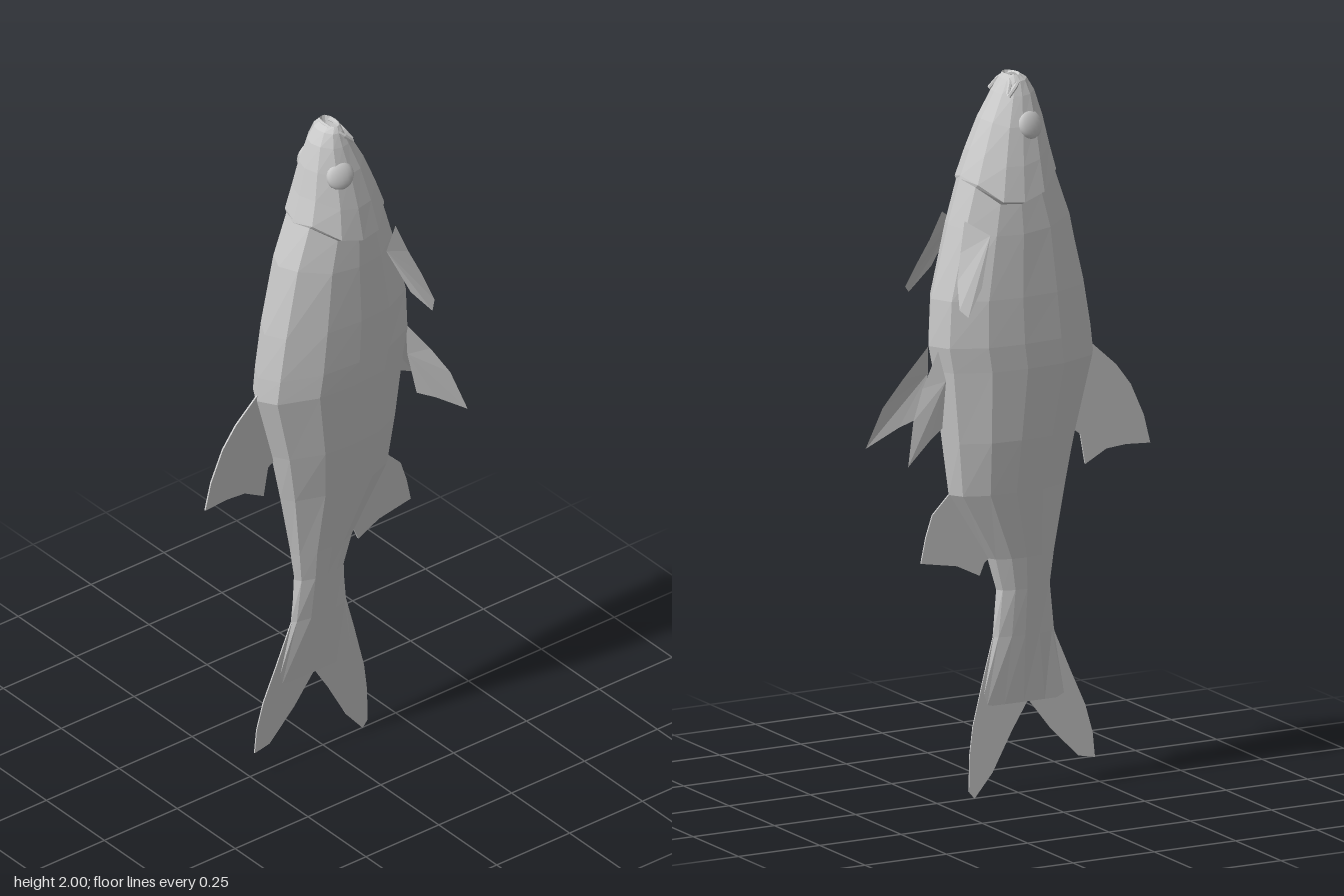
import * as THREE from 'three';

const material = new THREE.MeshStandardMaterial({ color: 0xcccccc, flatShading: true });
const thinMaterial = new THREE.MeshStandardMaterial({ color: 0xcccccc, flatShading: true, side: THREE.DoubleSide });

// Half cross-section from back to belly: [share of half width, share of half depth, gill edge drop]
const SECTION = [
  [0, 1, 0], [0.5, 0.87, 0], [0.92, 0.42, -0.045], [1, -0.05, -0.065],
  [0.93, -0.48, -0.06], [0.54, -0.87, -0.015], [0, -1, 0],
];

// Rings from mouth to tail: [y, back z, belly z, half width, amount of gill drop]
const RINGS = [
  [1.96, -0.012, -0.036, 0.026, 0],
  [1.997, -0.002, -0.042, 0.034, 0],
  [1.985, 0.018, -0.052, 0.045, 0.05],
  [1.95, 0.04, -0.075, 0.059, 0.1],
  [1.88, 0.063, -0.115, 0.082, 0.25],
  [1.8, 0.082, -0.15, 0.103, 0.6],
  [1.73, 0.102, -0.178, 0.118, 1],
  [1.722, 0.104, -0.18, 0.1, 1],
  [1.6, 0.152, -0.217, 0.106, 0.4],
  [1.4, 0.2, -0.268, 0.11, 0],
  [1.27, 0.222, -0.276, 0.109, 0],
  [1.2, 0.23, -0.262, 0.106, 0],
  [1.0, 0.177, -0.235, 0.091, 0],
  [0.85, 0.146, -0.214, 0.069, 0],
  [0.66, 0.11, -0.095, 0.043, 0],
  [0.57, 0.097, -0.068, 0.033, 0],
  [0.44, 0.11, -0.079, 0.021, 0],
  [0.25, 0.16, -0.115, 0.003, 0],
];

function meshFrom(positions, index, mat, name) {
  const g = new THREE.BufferGeometry();
  g.setAttribute('position', new THREE.Float32BufferAttribute(positions, 3));
  g.setIndex(index);
  g.computeVertexNormals();
  const mesh = new THREE.Mesh(g, mat);
  mesh.name = name;
  return mesh;
}

// Lofted body with the stepped gill cover and the mouth hollow
function makeBody() {
  const mirrored = SECTION.slice(1, -1).reverse().map(([w, d, k]) => [-w, d, k]);
  const loop = [...SECTION, ...mirrored];
  const n = loop.length;
  const pos = [];
  const idx = [];
  for (const [y, back, belly, half, drop] of RINGS) {
    const mid = (back + belly) / 2;
    const depth = (back - belly) / 2;
    for (const [w, d, k] of loop) pos.push(w * half, y + k * drop, mid + d * depth);
  }
  for (let r = 0; r < RINGS.length - 1; r++) {
    for (let i = 0; i < n; i++) {
      const j = (i + 1) % n;
      const a = r * n + i, b = r * n + j, c = a + n, d = b + n;
      idx.push(a, c, b, b, c, d);
    }
  }
  const last = (RINGS.length - 1) * n;
  for (let i = 1; i < n - 1; i++) {
    idx.push(0, i, i + 1);
    idx.push(last, last + i + 1, last + i);
  }
  return meshFrom(pos, idx, material, 'body');
}

// Thin plate on the centre plane, outline given as [z, y]
function makePlateFin(name, outline, thickness = 0.005) {
  const shape = new THREE.Shape(outline.map(([z, y]) => new THREE.Vector2(z, y)));
  const g = new THREE.ExtrudeGeometry(shape, { depth: thickness, bevelEnabled: false });
  g.rotateY(-Math.PI / 2);
  g.translate(thickness / 2, 0, 0);
  const fin = new THREE.Mesh(g, material);
  fin.name = name;
  return fin;
}

// Single-sheet side fin, outline given as [x, y, z] on the left side
function makeSideFin(name, outline, side) {
  const pos = outline.flatMap(([x, y, z]) => [x * side, y, z]);
  const idx = [];
  for (let i = 1; i < outline.length - 1; i++) idx.push(0, i, i + 1);
  return meshFrom(pos, idx, thinMaterial, name);
}

// Lip following a U round the snout
function makeLip(name, points, radius) {
  const curve = new THREE.CatmullRomCurve3(points.map((p) => new THREE.Vector3(...p)));
  const lip = new THREE.Mesh(new THREE.TubeGeometry(curve, 12, radius, 6), material);
  lip.name = name;
  return lip;
}

export function createModel() {
  const fish = new THREE.Group();
  fish.name = 'fish';
  fish.add(makeBody());

  fish.add(makePlateFin('tailFin', [
    [0.108, 0.44], [0.16, 0.32], [0.205, 0.22], [0.228, 0.14], [0.235, 0.07], [0.185, 0.08],
    [0.1, 0.165], [0.03, 0.255], [-0.02, 0.175], [-0.08, 0.065], [-0.135, 0],
    [-0.152, 0.02], [-0.15, 0.12], [-0.14, 0.2], [-0.105, 0.34], [-0.078, 0.44],
  ], 0.004));
  fish.add(makePlateFin('dorsalFin', [
    [0.2, 1.24], [0.228, 1.215], [0.3, 1.15], [0.345, 1.09], [0.385, 1.0], [0.405, 0.92],
    [0.33, 0.925], [0.27, 0.92], [0.205, 0.885], [0.19, 0.97], [0.15, 1.0],
  ]));
  fish.add(makePlateFin('analFin', [
    [-0.19, 0.86], [-0.215, 0.85], [-0.265, 0.8], [-0.285, 0.74], [-0.3, 0.67],
    [-0.19, 0.65], [-0.12, 0.615], [-0.105, 0.65], [-0.08, 0.67],
  ]));

  for (const side of [1, -1]) {
    const label = side > 0 ? 'left' : 'right';
    fish.add(makeSideFin(label + 'PectoralFin', [
      [0.098, 1.58, -0.14], [0.062, 1.62, -0.2], [0.085, 1.54, -0.225], [0.112, 1.47, -0.25],
      [0.15, 1.4, -0.264], [0.165, 1.38, -0.245], [0.14, 1.45, -0.19],
    ], side));
    fish.add(makeSideFin(label + 'PelvicFin', [
      [0.05, 1.18, -0.25], [0.028, 1.26, -0.262], [0.055, 1.17, -0.325], [0.085, 1.09, -0.37],
      [0.117, 0.975, -0.404], [0.085, 1.03, -0.32], [0.065, 1.055, -0.27],
    ], side));

    // Eye: a flattened ball sunk into the head
    const eye = new THREE.Mesh(
      new THREE.SphereGeometry(0.04, 16, 12),
      new THREE.MeshStandardMaterial({ color: 0xcccccc }),
    );
    eye.name = label + 'Eye';
    eye.scale.set(0.4, 1, 1);
    eye.position.set(side * 0.071, 1.866, -0.003);
    eye.rotation.set(0, -side * 0.25, side * 0.28);
    fish.add(eye);
  }

  // Lips
  fish.add(makeLip('upperLip', [
    [-0.053, 1.945, -0.06], [-0.046, 1.972, -0.032], [-0.024, 1.99, -0.009], [0, 1.993, -0.004],
    [0.024, 1.99, -0.009], [0.046, 1.972, -0.032], [0.053, 1.945, -0.06],
  ], 0.006));
  fish.add(makeLip('lowerLip', [
    [-0.05, 1.95, -0.06], [-0.028, 1.982, -0.042], [0, 1.99, -0.038],
    [0.028, 1.982, -0.042], [0.05, 1.95, -0.06],
  ], 0.006));
  return fish;
}
